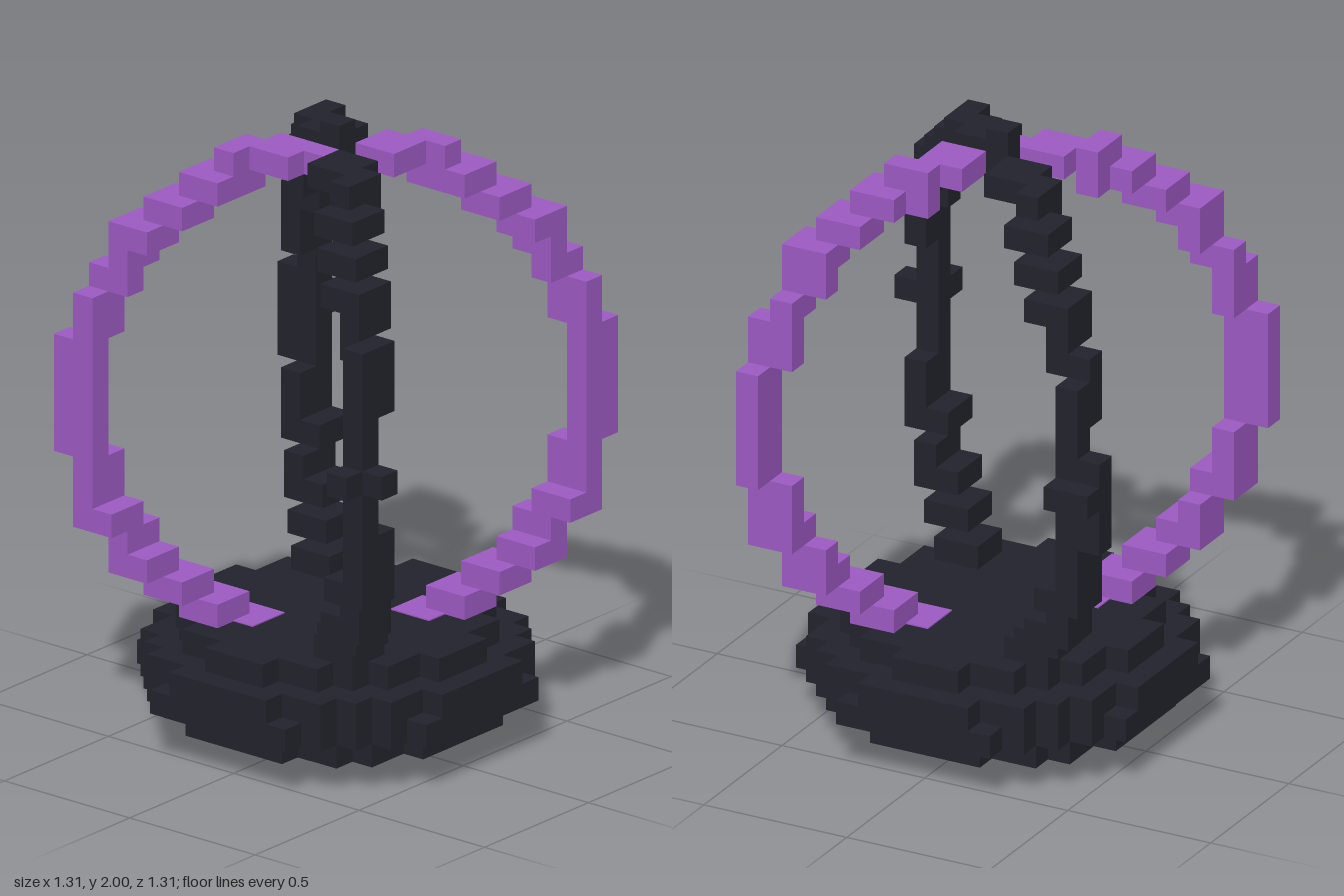
import * as THREE from 'three';
import { mergeGeometries } from 'three/addons/utils/BufferGeometryUtils.js';

const V = 2 / 26; // edge of one cube

// Block covering an inclusive range of cells: layers y, columns x, rows z
function block(y0, y1, x0, x1, z0, z1) {
  const g = new THREE.BoxGeometry((x1 - x0 + 1) * V, (y1 - y0 + 1) * V, (z1 - z0 + 1) * V);
  return g.translate((x0 + x1) / 2 * V, (y0 + y1 + 1) / 2 * V, (z0 + z1) / 2 * V);
}

// Stepped climb of a quarter arch: first layer, last layer, a from/to, b from/to
const climb = [
  [5, 5, 3, 4, 3, 4],
  [6, 6, 4, 5, 4, 5],
  [7, 7, 5, 6, 5, 6],
  [8, 8, 6, 6, 5, 6],
  [9, 9, 6, 7, 6, 7],
  [10, 11, 7, 7, 6, 7],
  [12, 16, 7, 7, 7, 7],
  [17, 18, 7, 7, 6, 7],
  [19, 19, 6, 7, 6, 6],
  [20, 20, 6, 6, 5, 6],
  [21, 21, 5, 6, 5, 6],
  [22, 22, 4, 5, 4, 5],
  [23, 23, 3, 4, 3, 4],
  [23, 23, 3, 3, 2, 2],
  [24, 24, 3, 3, 2, 3],
  [24, 24, 1, 2, 1, 2],
];

// Place the climb in one corner; swap exchanges the two ground axes
function quarter(sx, sz, swap, extras) {
  return mergeGeometries([...climb, ...extras].map(([y0, y1, a0, a1, b0, b1]) => {
    const [x0, x1, z0, z1] = swap ? [b0, b1, a0, a1] : [a0, a1, b0, b1];
    return block(y0, y1, Math.min(sx * x0, sx * x1), Math.max(sx * x0, sx * x1),
      Math.min(sz * z0, sz * z1), Math.max(sz * z0, sz * z1));
  }));
}

// Round slab of cubes, one strip per row
function disc(layer, radius) {
  const rows = [];
  const n = Math.floor(radius);
  for (let z = -n; z <= n; z++) {
    const w = Math.floor(Math.sqrt(radius * radius - z * z));
    rows.push(block(layer, layer, -w, w, z, z));
  }
  return mergeGeometries(rows);
}

export function createModel() {
  const group = new THREE.Group();
  const dark = new THREE.MeshStandardMaterial({ color: 0x22222c });
  dark.name = 'charcoal';
  const purple = new THREE.MeshStandardMaterial({ color: 0x9b59c0 });
  purple.name = 'purple';

  const add = (name, geometry, material) => {
    const mesh = new THREE.Mesh(geometry, material);
    mesh.name = name;
    group.add(mesh);
    return mesh;
  };

  // Rounded base, from foot to top slab
  [3.5, 6.5, 7.62, 7.4, 6.25].forEach((r, i) => add('baseLayer' + i, disc(i, r), dark));

  // Purple arch across one diagonal
  const bulge = [12, 16, 8, 8, 7, 7];
  add('purpleArchFront', quarter(1, 1, false, [bulge]), purple);
  add('purpleArchBack', quarter(-1, -1, true, [bulge]), purple);
  add('purpleArchLink', block(24, 24, -1, -1, 0, 0), purple);

  // Dark arch across the other diagonal, with side studs
  add('darkArchBack', quarter(1, -1, true,
    [[12, 15, 8, 8, 7, 7], [14, 14, 7, 8, 8, 8]]), dark);
  add('darkArchFront', quarter(-1, 1, true,
    [[14, 14, 8, 8, 7, 7], [14, 14, 7, 7, 8, 8], [19, 19, 7, 7, 7, 7]]), dark);

  // Crown where the arches meet
  add('crown', block(24, 25, 0, 0, 0, 0), dark);

  // Thin purple inlays where the purple arch enters the base
  for (const s of [1, -1]) {
    const inlay = add('archInlay', new THREE.BoxGeometry(2 * V, 0.006, 2 * V), purple);
    inlay.position.set(s * 2.5 * V, 5 * V + 0.001, s * 2.5 * V);
  }
  return group;
}
